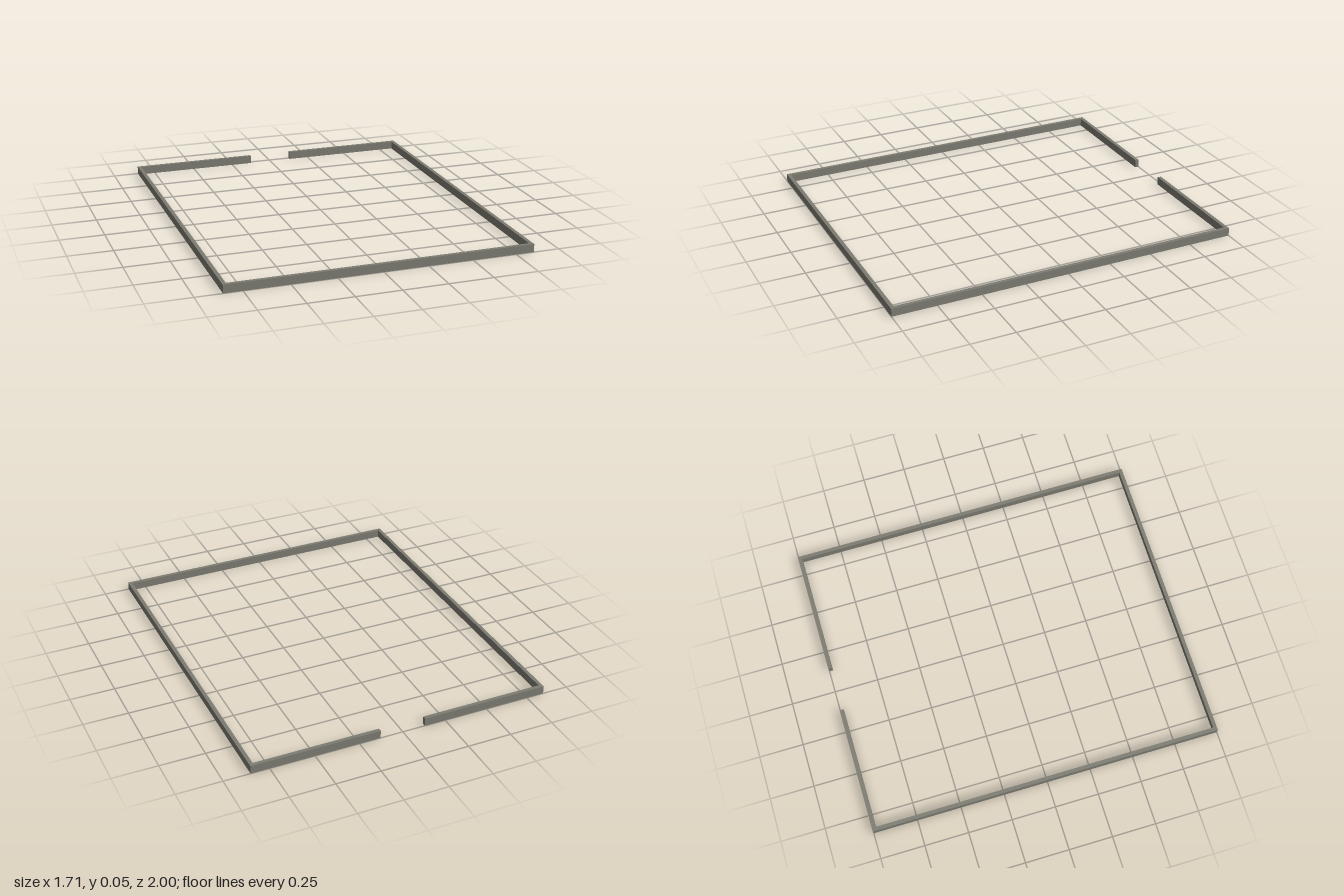
import * as THREE from 'three';

const HALF_WIDTH = 0.853;
const HALF_DEPTH = 1;
const THICKNESS = 0.021;
const HEIGHT = 0.046;
const HALF_GAP = 0.129;

export function createModel() {
  const group = new THREE.Group();
  group.name = 'openFrame';

  // Floor plan of the rail: a rectangle with an opening in the middle of its back side
  const xi = HALF_WIDTH - THICKNESS;
  const yi = HALF_DEPTH - THICKNESS;
  const plan = new THREE.Shape([
    [HALF_GAP, HALF_DEPTH], [HALF_GAP, yi],
    [xi, yi], [xi, -yi], [-xi, -yi], [-xi, yi],
    [-HALF_GAP, yi], [-HALF_GAP, HALF_DEPTH],
    [-HALF_WIDTH, HALF_DEPTH], [-HALF_WIDTH, -HALF_DEPTH],
    [HALF_WIDTH, -HALF_DEPTH], [HALF_WIDTH, HALF_DEPTH],
  ].map(([x, y]) => new THREE.Vector2(x, y)));

  // Raise the plan to the rail height and lay it flat, opening towards -z
  const geometry = new THREE.ExtrudeGeometry(plan, { depth: HEIGHT, bevelEnabled: false });
  geometry.rotateX(-Math.PI / 2);

  const rail = new THREE.Mesh(geometry, new THREE.MeshStandardMaterial({ color: 0x7d7c72 }));
  rail.name = 'perimeterRail';
  group.add(rail);
  return group;
}
